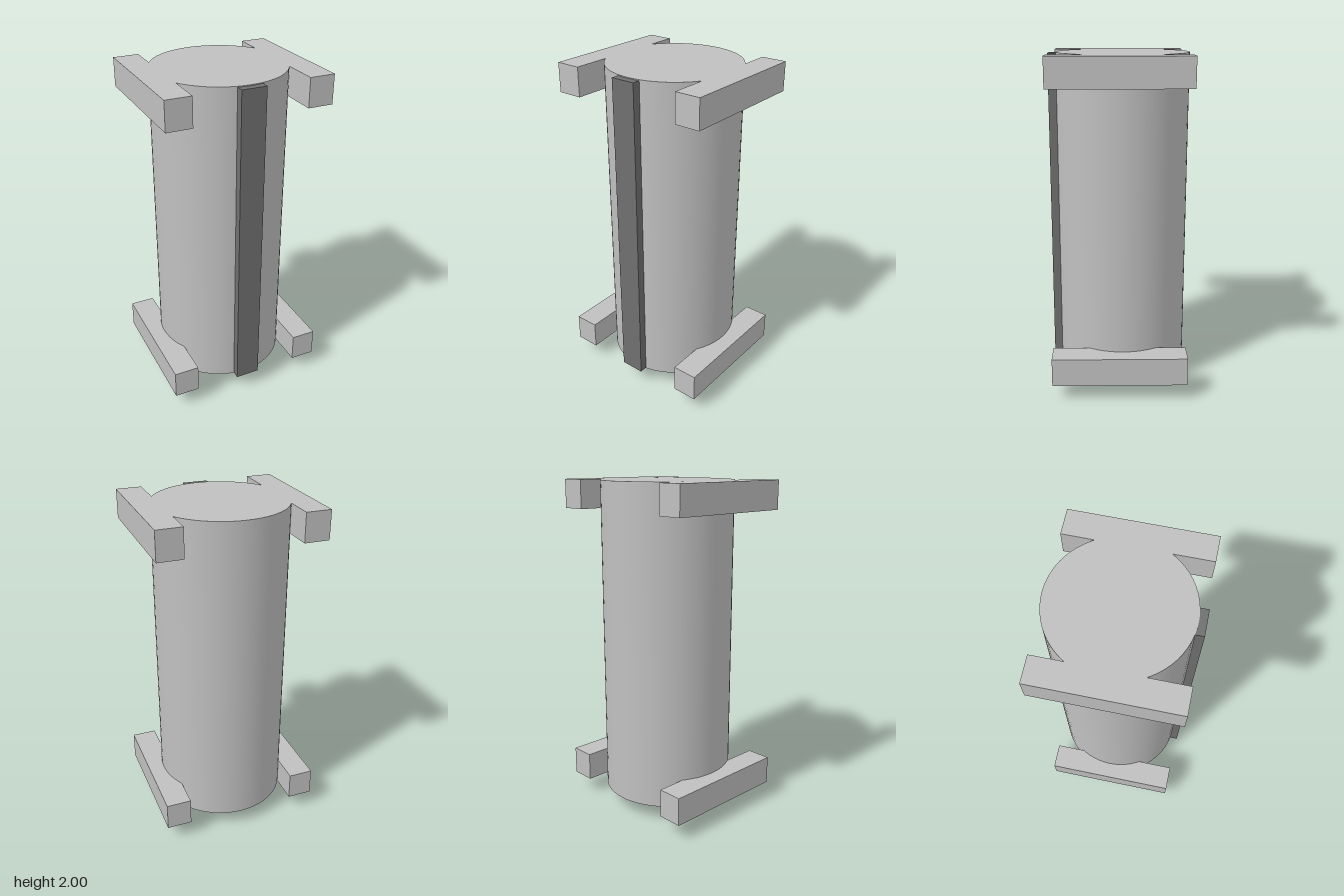
import * as THREE from 'three';

export function createModel() {
  const model = new THREE.Group();
  const lightGrey = new THREE.MeshStandardMaterial({ color: 0xc0c0c0 });
  lightGrey.name = 'light grey';
  const darkGrey = new THREE.MeshStandardMaterial({ color: 0x707070 });
  darkGrey.name = 'dark grey';

  function add(name, geometry, material, x, y, z) {
    const mesh = new THREE.Mesh(geometry, material);
    mesh.name = name;
    mesh.position.set(x, y, z);
    model.add(mesh);
  }

  const axisZ = -0.021;

  // Cylindrical body
  add('body', new THREE.CylinderGeometry(0.391, 0.391, 1.9, 64), lightGrey, 0, 1.05, axisZ);

  // Dark stripe running down the front, sunk into the body
  add('frontStripe', new THREE.BoxGeometry(0.147, 1.892, 0.111), darkGrey, 0, 1.049, 0.3555);

  for (const side of [-1, 1]) {
    const label = side > 0 ? 'left' : 'right';
    // Square bars along both sides, flush with the body's two ends
    add(label + 'TopBar', new THREE.BoxGeometry(0.15, 0.17, 0.798), lightGrey, side * 0.411, 1.915, 0);
    add(label + 'BottomBar', new THREE.BoxGeometry(0.15, 0.17, 0.798), lightGrey, side * 0.411, 0.185, 0);
    // Webs joining each bar to the body end are hidden inside the overlap
    // Contact pin under the body
    add(label + 'Pin', new THREE.CylinderGeometry(0.045, 0.045, 0.11, 32), lightGrey, side * 0.152, 0.055, axisZ);
  }

  return model;
}
